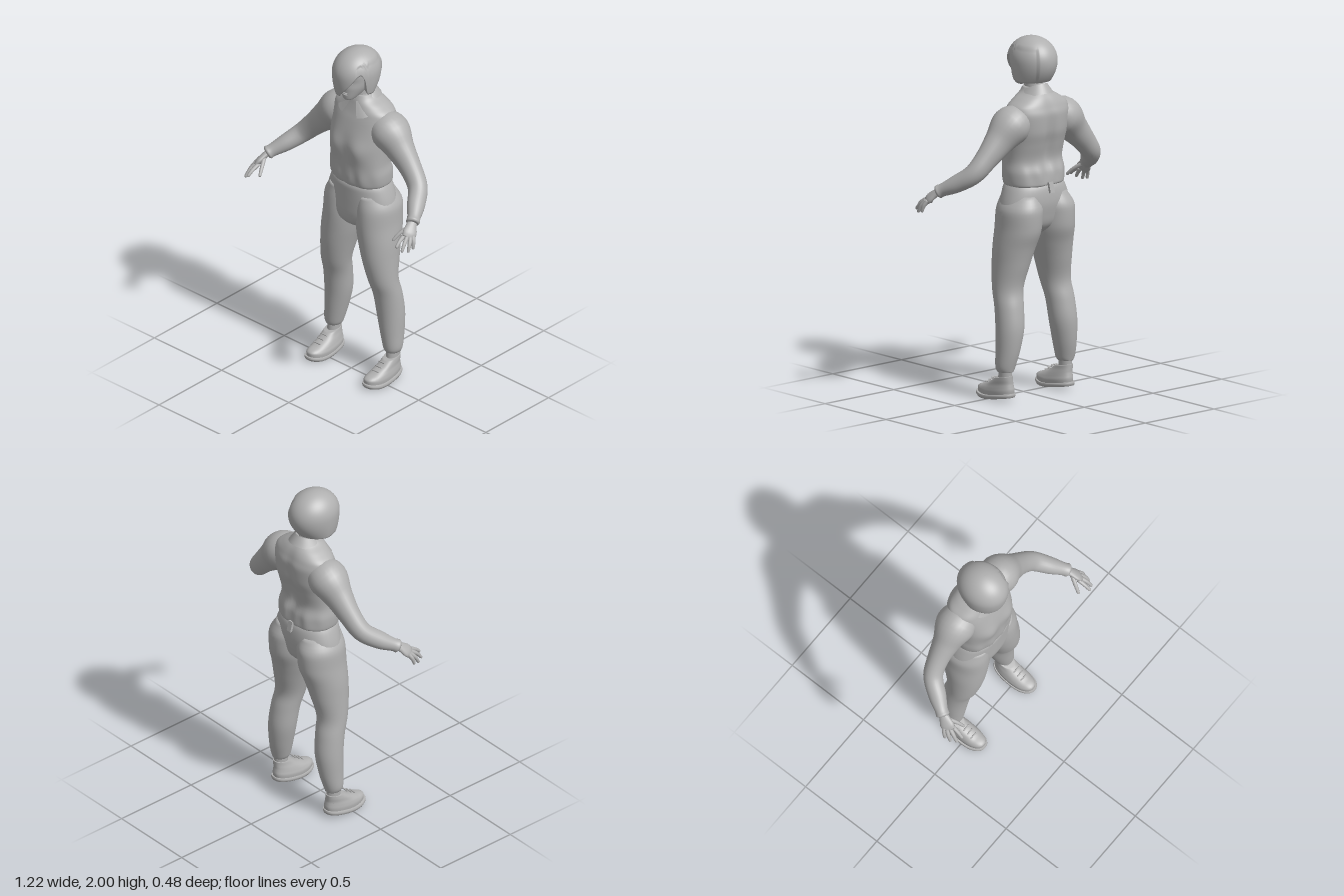
import * as THREE from 'three';

const V = (p) => new THREE.Vector3(...p);

// Monotone smoothing of a table of section values, k steps per span
function smooth(t, k = 5) {
  const slope = (i, j) => {
    if (i === 0) return t[1][j] - t[0][j];
    if (i === t.length - 1) return t[i][j] - t[i - 1][j];
    const a = t[i][j] - t[i - 1][j], b = t[i + 1][j] - t[i][j];
    if (a * b <= 0) return 0;
    return Math.sign(a) * Math.min(Math.abs(a + b) / 2, 2 * Math.abs(a), 2 * Math.abs(b));
  };
  const out = [];
  for (let i = 0; i < t.length - 1; i++) for (let s = 0; s < k; s++) {
    const u = s / k, u2 = u * u, u3 = u2 * u;
    out.push(t[i].map((p, j) => (2 * u3 - 3 * u2 + 1) * p + (u3 - 2 * u2 + u) * slope(i, j)
      + (3 * u2 - 2 * u3) * t[i + 1][j] + (u3 - u2) * slope(i + 1, j)));
  }
  out.push(t[t.length - 1]);
  return out;
}

// Skin over rows of points; closed skins get end caps and face outwards
function skin(rows, closed = true) {
  const n = rows[0].length, pts = rows.flat(), idx = [], m = closed ? n : n - 1;
  for (let r = 0; r < rows.length - 1; r++) for (let i = 0; i < m; i++) {
    const a = r * n + i, b = r * n + (i + 1) % n;
    idx.push(a, b, a + n, b, b + n, a + n);
  }
  if (closed) {
    [0, rows.length - 1].forEach((r) => {
      const c = rows[r].reduce((s, p) => s.add(p), new THREE.Vector3()).divideScalar(n);
      const ci = pts.push(c) - 1;
      for (let i = 0; i < n; i++) {
        const a = r * n + i, b = r * n + (i + 1) % n;
        r === 0 ? idx.push(ci, b, a) : idx.push(ci, a, b);
      }
    });
    let vol = 0;
    for (let i = 0; i < idx.length; i += 3) {
      vol += pts[idx[i]].dot(pts[idx[i + 1]].clone().cross(pts[idx[i + 2]]));
    }
    if (vol < 0) idx.reverse();
  }
  const g = new THREE.BufferGeometry().setFromPoints(pts);
  g.setIndex(idx);
  g.computeVertexNormals();
  return g;
}

const side = (rows, s) => rows.map((r) => r.map((p) => new THREE.Vector3(p.x * s, p.y, p.z)));

// Level sections: [y, centre x, half width, front z, back z]
function stack(table, e = 1, rule = null, n = 40) {
  return smooth(table).map(([y, cx, rx, zf, zb]) => Array.from({ length: n }, (_, i) => {
    const a = (i / n) * Math.PI * 2, s = Math.sin(a), c = Math.cos(a);
    const p = new THREE.Vector3(cx + rx * Math.sign(s) * Math.abs(s) ** e, y,
      (zf + zb) / 2 + (zf - zb) / 2 * Math.sign(c) * Math.abs(c) ** e);
    if (rule) rule(p, c);
    return p;
  }));
}

// Sections across a path: [x, y, z, radius along ref, other radius]
function limb(table, ref = [0, 0, 1], n = 20) {
  const t = smooth(table);
  return t.map((q, k) => {
    const dir = V(t[Math.min(k + 1, t.length - 1)].slice(0, 3)).sub(V(t[Math.max(k - 1, 0)].slice(0, 3))).normalize();
    const u = V(ref);
    u.addScaledVector(dir, -u.dot(dir)).normalize();
    const w = dir.clone().cross(u);
    return Array.from({ length: n }, (_, i) => {
      const a = (i / n) * Math.PI * 2;
      return V(q.slice(0, 3)).addScaledVector(u, q[3] * Math.cos(a)).addScaledVector(w, q[4] * Math.sin(a));
    });
  });
}

// Lower edge of the bob by angle from the front
const hairEdge = [[-180, 1.755], [-90, 1.75], [-60, 1.755], [-30, 1.742], [-4, 1.752], [24, 1.82], [45, 1.885],
  [58, 1.9], [67, 1.86], [74, 1.765], [100, 1.755], [180, 1.755]];
function edgeAt(d) {
  const i = Math.max(1, hairEdge.findIndex((e) => e[0] >= d));
  const [a, b] = [hairEdge[i - 1], hairEdge[i]];
  return a[1] + (b[1] - a[1]) * (d - a[0]) / (b[0] - a[0]);
}
function hairRows() {
  const rows = [], n = 96, steps = 24, cy = 1.87, ry = 0.13;
  for (let r = 1; r <= steps + 2; r++) rows.push(Array.from({ length: n }, (_, i) => {
    const d = -180 + (360 * i) / n, a = d * Math.PI / 180, edge = edgeAt(d);
    const end = Math.acos(Math.max(-1, (edge - cy) / ry)), phi = end * Math.min(1, r / steps);
    let y = cy + ry * Math.cos(phi);
    const low = Math.max(0, (cy - y) / ry), back = Math.max(0, -Math.cos(a));
    let f = (phi < Math.PI / 2 ? Math.sin(phi) : 1) - (0.13 + 0.3 * back) * low * low;
    if (d > 45 && d < 150 && y < 1.945) f *= 0.95;
    if (r > steps) { f *= r === steps + 1 ? 0.9 : 0.5; y += r === steps + 1 ? 0.006 : 0.02; }
    return new THREE.Vector3(-0.012 + 0.128 * f * Math.sin(a), y, -0.06 + 0.15 * f * Math.cos(a));
  }));
  return rows;
}

export function createModel() {
  const root = new THREE.Group();
  const grey = new THREE.MeshStandardMaterial({ color: 0xb0b0b0, side: THREE.DoubleSide });
  grey.name = 'plain grey';
  const add = (name, geo, pos = [0, 0, 0], rot = [0, 0, 0], scale = [1, 1, 1]) => {
    const m = new THREE.Mesh(geo, grey);
    m.name = name;
    m.position.set(...pos); m.rotation.set(...rot); m.scale.set(...scale);
    root.add(m);
  };

  // Shirt body, with bust, spine furrow and gathered hem
  const bump = (x, y, sx, sy) => Math.exp(-x * x / sx / sx - y * y / sy / sy);
  add('shirt', skin(stack([[1.185, 0, 0.168, 0.03, -0.2], [1.2, 0, 0.18, 0.045, -0.215], [1.26, 0, 0.185, 0.052, -0.212],
    [1.33, 0, 0.178, 0.052, -0.195], [1.42, 0, 0.182, 0.052, -0.215], [1.5, 0, 0.188, 0.042, -0.235],
    [1.58, 0, 0.192, 0.02, -0.238], [1.63, 0, 0.185, 0.002, -0.225], [1.67, 0, 0.135, -0.01, -0.208],
    [1.7, 0, 0.085, -0.018, -0.185], [1.73, 0, 0.06, -0.03, -0.155]], 0.85, (p, c) => {
    if (c > 0) p.z += 0.018 * bump(Math.abs(p.x) - 0.085, p.y - 1.42, 0.06, 0.07);
    else p.z += 0.022 * bump(p.x, p.y - 1.42, 0.03, 0.17);
    p.z += 0.004 * Math.sin(p.x * 75) * bump(0, p.y - 1.24, 1, 0.06);
  }, 72)));
  add('shirtBackTab', new THREE.BoxGeometry(0.03, 0.06, 0.014), [-0.005, 1.18, -0.222], [0.25, 0, 0]);

  // Collar folded round the neck, open at the front
  add('collar', skin([0, 0.5, 1].map((v) => Array.from({ length: 41 }, (_, i) => {
    const a = 0.3 + (i / 40) * (Math.PI * 2 - 0.6), front = (1 + Math.cos(a)) / 2, f3 = front ** 3;
    const r = 0.064 + 0.034 * v;
    return new THREE.Vector3(r * Math.sin(a) * (1 + 0.9 * v * f3), 1.752 - 0.055 * front - v * (0.05 + 0.035 * f3),
      -0.095 + (r + 0.008) * Math.cos(a) + 0.012 * f3);
  })), false));

  // Trousers: pelvis
  add('pelvis', skin(stack([[1.21, 0, 0.165, 0.03, -0.195], [1.17, 0, 0.188, 0.045, -0.215], [1.1, 0, 0.213, 0.045, -0.222],
    [1.03, 0, 0.225, 0.045, -0.212], [0.97, 0, 0.19, 0.04, -0.195], [0.93, 0, 0.1, 0.02, -0.16], [0.905, 0, 0.03, -0.03, -0.12]], 0.9)));

  for (const s of [1, -1]) {
    const n = s > 0 ? 'left' : 'right';
    // Trouser leg and ankle
    add(n + 'TrouserLeg', skin(side(stack([[1.14, 0.1, 0.085, 0.03, -0.205], [1.05, 0.115, 0.117, 0.046, -0.242],
      [0.95, 0.121, 0.117, 0.05, -0.236], [0.85, 0.136, 0.112, 0.048, -0.205], [0.75, 0.152, 0.1, 0.042, -0.18],
      [0.62, 0.172, 0.086, 0.02, -0.153], [0.52, 0.184, 0.081, -0.01, -0.172], [0.4, 0.193, 0.078, -0.027, -0.186],
      [0.28, 0.206, 0.066, -0.035, -0.174], [0.19, 0.217, 0.054, -0.042, -0.153], [0.165, 0.218, 0.043, -0.05, -0.146]]), s)));
    add(n + 'Ankle', skin(side(stack([[0.18, 0.219, 0.035, -0.06, -0.14], [0.13, 0.219, 0.034, -0.055, -0.138], [0.09, 0.219, 0.036, -0.05, -0.14]]), s)));

    // Shoe: upper and sole, with raised heel and toe
    const pitch = (p) => { p.y += Math.max(0, -p.z) * 0.16 + Math.max(0, p.z - 0.06) * 0.2; };
    add(n + 'Shoe', skin(side(stack([[0.015, 0.213, 0.055, 0.112, -0.145], [0.04, 0.213, 0.057, 0.113, -0.148], [0.06, 0.214, 0.053, 0.095, -0.145],
      [0.08, 0.215, 0.047, 0.05, -0.142], [0.1, 0.218, 0.042, 0.002, -0.142], [0.12, 0.219, 0.038, -0.035, -0.142]], 0.85, pitch), s)));
    add(n + 'Sole', skin(side(stack([[0, 0.215, 0.06, 0.115, -0.15], [0.012, 0.215, 0.064, 0.122, -0.154], [0.022, 0.215, 0.062, 0.12, -0.152]], 0.82, pitch), s)));
    for (let i = 0; i < 3; i++) {
      add(n + 'Lace', new THREE.CapsuleGeometry(0.004, 0.04, 4, 8), [s * 0.216, 0.088 + i * 0.016, 0.042 - i * 0.026], [0, 0, Math.PI / 2]);
    }

    // Sleeve and cuff
    add(n + 'Sleeve', skin(side(limb([[0.09, 1.575, -0.11, 0.08, 0.07], [0.185, 1.535, -0.108, 0.112, 0.108],
      [0.27, 1.455, -0.102, 0.078, 0.085], [0.35, 1.375, -0.095, 0.06, 0.066], [0.425, 1.295, -0.072, 0.054, 0.056],
      [0.485, 1.235, 0.005, 0.05, 0.047], [0.528, 1.197, 0.07, 0.036, 0.036], [0.538, 1.188, 0.086, 0.038, 0.038],
      [0.543, 1.183, 0.094, 0.03, 0.03]], undefined, 28), s)));

    // Hand, fingers and thumb
    add(n + 'Palm', skin(side(limb([[0.53, 1.195, 0.075, 0.024, 0.02], [0.545, 1.175, 0.105, 0.03, 0.018],
      [0.56, 1.148, 0.135, 0.04, 0.018], [0.568, 1.128, 0.156, 0.034, 0.012]], [-0.45, 0.2, 0.75]), s)));
    const fingers = [[[0.545, 1.14, 0.16], [0.549, 1.118, 0.205], [0.552, 1.092, 0.237]],
      [[0.562, 1.135, 0.157], [0.575, 1.108, 0.195], [0.582, 1.072, 0.224]],
      [[0.575, 1.132, 0.146], [0.592, 1.1, 0.172], [0.598, 1.062, 0.19]],
      [[0.58, 1.134, 0.13], [0.597, 1.105, 0.145], [0.602, 1.07, 0.155]],
      [[0.54, 1.172, 0.115], [0.512, 1.138, 0.165], [0.494, 1.1, 0.203]]];
    fingers.forEach((f, i) => add(n + (i === 4 ? 'Thumb' : 'Finger'),
      skin(side(limb([[...f[0], 0.013, 0.013], [...f[1], 0.011, 0.011],
        [...f[2].map((c, j) => c - (c - f[1][j]) * 0.1), 0.008, 0.008], [...f[2], 0.003, 0.003]], [0.8, 0.1, -0.4], 10), s))));

    // Eye, brow and ear
    add(n + 'Eye', new THREE.SphereGeometry(0.012, 16, 10), [s * 0.032, 1.838, 0.041], [0, 0, 0], [1.2, 0.6, 0.7]);
    add(n + 'Brow', new THREE.CapsuleGeometry(0.004, 0.026, 4, 8), [s * 0.034, 1.86, 0.048], [0, s * 0.3, Math.PI / 2 - s * 0.1]);
    add(n + 'Ear', new THREE.SphereGeometry(0.022, 14, 10), [s * 0.078, 1.82, -0.045], [0, 0, 0], [0.4, 1.2, 0.8]);
  }

  // Neck, head and face
  add('neck', skin(stack([[1.63, 0, 0.06, -0.012, -0.15], [1.7, 0, 0.054, -0.025, -0.15], [1.76, 0, 0.05, -0.03, -0.14], [1.82, 0, 0.055, -0.02, -0.14]])));
  add('head', skin(stack([[1.722, 0, 0.018, 0.04, 0], [1.735, 0, 0.035, 0.053, -0.03], [1.765, 0, 0.055, 0.056, -0.09],
    [1.8, 0, 0.071, 0.056, -0.13], [1.84, 0, 0.08, 0.05, -0.15], [1.88, 0, 0.083, 0.056, -0.16],
    [1.93, 0, 0.075, 0.035, -0.15], [1.965, 0, 0.045, 0, -0.11]], 0.92)));
  add('nose', skin(limb([[0, 1.85, 0.05, 0.006, 0.006], [0, 1.825, 0.058, 0.009, 0.008], [0, 1.806, 0.062, 0.012, 0.014],
    [0, 1.796, 0.054, 0.006, 0.01]], [0, 0, 1], 14)));
  [1.772, 1.763].forEach((y) => add('lip', new THREE.SphereGeometry(0.02, 16, 8), [0, y, 0.054], [0, 0, 0], [1, 0.25, 0.4]));

  // Side-swept bob
  add('hair', skin(hairRows()));
  return root;
}
